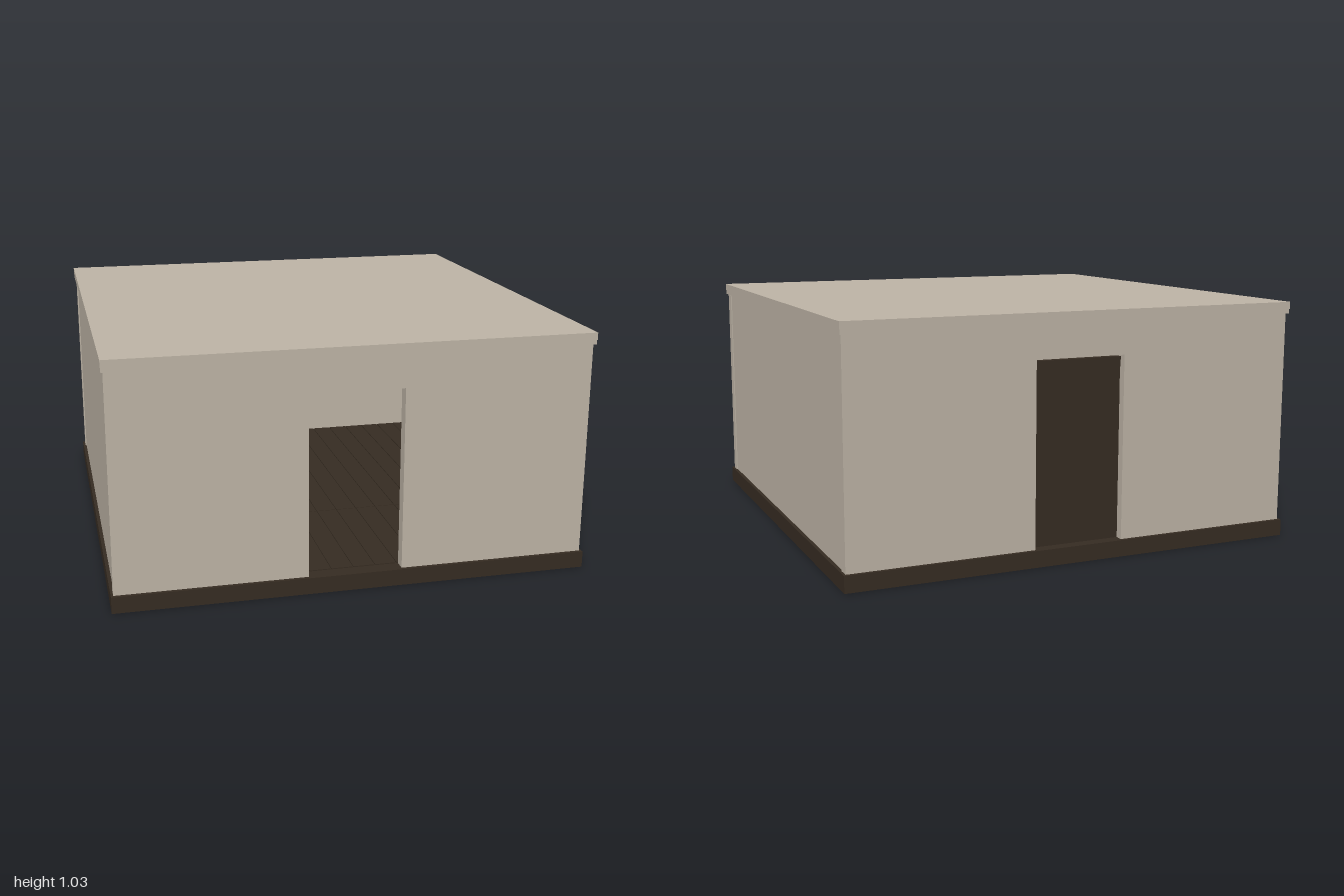
import * as THREE from 'three';

export function createModel() {
  const house = new THREE.Group();
  house.name = 'house';

  const plaster = new THREE.MeshStandardMaterial({ color: 0xbfb5a7 });
  plaster.name = 'beige plaster';
  const wood = new THREE.MeshStandardMaterial({ color: 0x362c22 });
  wood.name = 'dark wood';
  const metal = new THREE.MeshStandardMaterial({ color: 0xcfc8bc });
  metal.name = 'pale metal';

  // Box given by its lower and upper corners
  function box(name, material, [x0, y0, z0], [x1, y1, z1], parent = house) {
    const mesh = new THREE.Mesh(new THREE.BoxGeometry(x1 - x0, y1 - y0, z1 - z0), material);
    mesh.position.set((x0 + x1) / 2, (y0 + y1) / 2, (z0 + z1) / 2);
    mesh.name = name;
    parent.add(mesh);
    return mesh;
  }

  const floorY = 0.07, ceilingY = 0.98, thickness = 0.05, face = 0.985;

  // Plinth and two-step roof slab
  box('plinth', wood, [-1, 0, -1], [1, floorY, 1]);
  box('roofTrim', plaster, [-0.998, ceilingY, -0.998], [0.998, 1.0, 0.998]);
  box('roofSlab', plaster, [-1, 1.0, -1], [1, 1.03, 1]);

  // Front and back walls, each with a doorway
  const wall = new THREE.Shape();
  wall.moveTo(-0.99, floorY);
  wall.lineTo(-0.2, floorY);
  wall.lineTo(-0.2, 0.843);
  wall.lineTo(0.195, 0.843);
  wall.lineTo(0.195, floorY);
  wall.lineTo(0.99, floorY);
  wall.lineTo(0.99, ceilingY);
  wall.lineTo(-0.99, ceilingY);
  wall.closePath();
  const wallGeometry = new THREE.ExtrudeGeometry(wall, { depth: thickness, bevelEnabled: false });
  for (const [name, z] of [['frontWall', face - thickness], ['backWall', -face]]) {
    const mesh = new THREE.Mesh(wallGeometry, plaster);
    mesh.position.z = z;
    mesh.name = name;
    house.add(mesh);
  }

  // Side walls between them
  for (const side of [-1, 1]) {
    const x = side * (face - thickness / 2);
    box(side > 0 ? 'leftWall' : 'rightWall', plaster,
      [x - thickness / 2, floorY, -face + thickness], [x + thickness / 2, ceilingY, face - thickness]);
  }

  // Floor planks running front to back, in two rows
  const inner = face - thickness, count = 20, pitch = (2 * inner) / count;
  for (let i = 0; i < count; i++) {
    const x = -inner + i * pitch;
    for (const [z0, z1] of [[-inner, 0.298], [0.302, inner]]) {
      box('floorPlank', wood, [x + 0.002, floorY, z0], [x + pitch - 0.002, floorY + 0.004, z1]);
    }
  }

  // Closed back door with header, raised panel and handle
  const door = new THREE.Group();
  door.name = 'backDoor';
  house.add(door);
  box('doorLeaf', wood, [-0.2, floorY, -0.95], [0.192, 0.79, -0.93], door);
  box('doorHeader', wood, [-0.2, 0.79, -0.955], [0.192, 0.833, -0.925], door);
  box('doorPanel', wood, [-0.155, 0.18, -0.93], [0.15, 0.74, -0.922], door);
  box('doorHandle', metal, [0.122, 0.38, -0.922], [0.146, 0.402, -0.9], door);
  box('doorLatch', metal, [0.16, 0.286, -0.93], [0.192, 0.298, -0.915], door);

  // Strike plates on the front doorway jamb
  for (const y of [0.29, 0.4]) {
    box('strikePlate', metal, [-0.2, y - 0.018, 0.945], [-0.197, y + 0.018, 0.965]);
  }

  // Chest standing inside
  box('chest', wood, [-0.73, floorY, 0.01], [-0.49, 0.23, 0.134]);

  return house;
}
